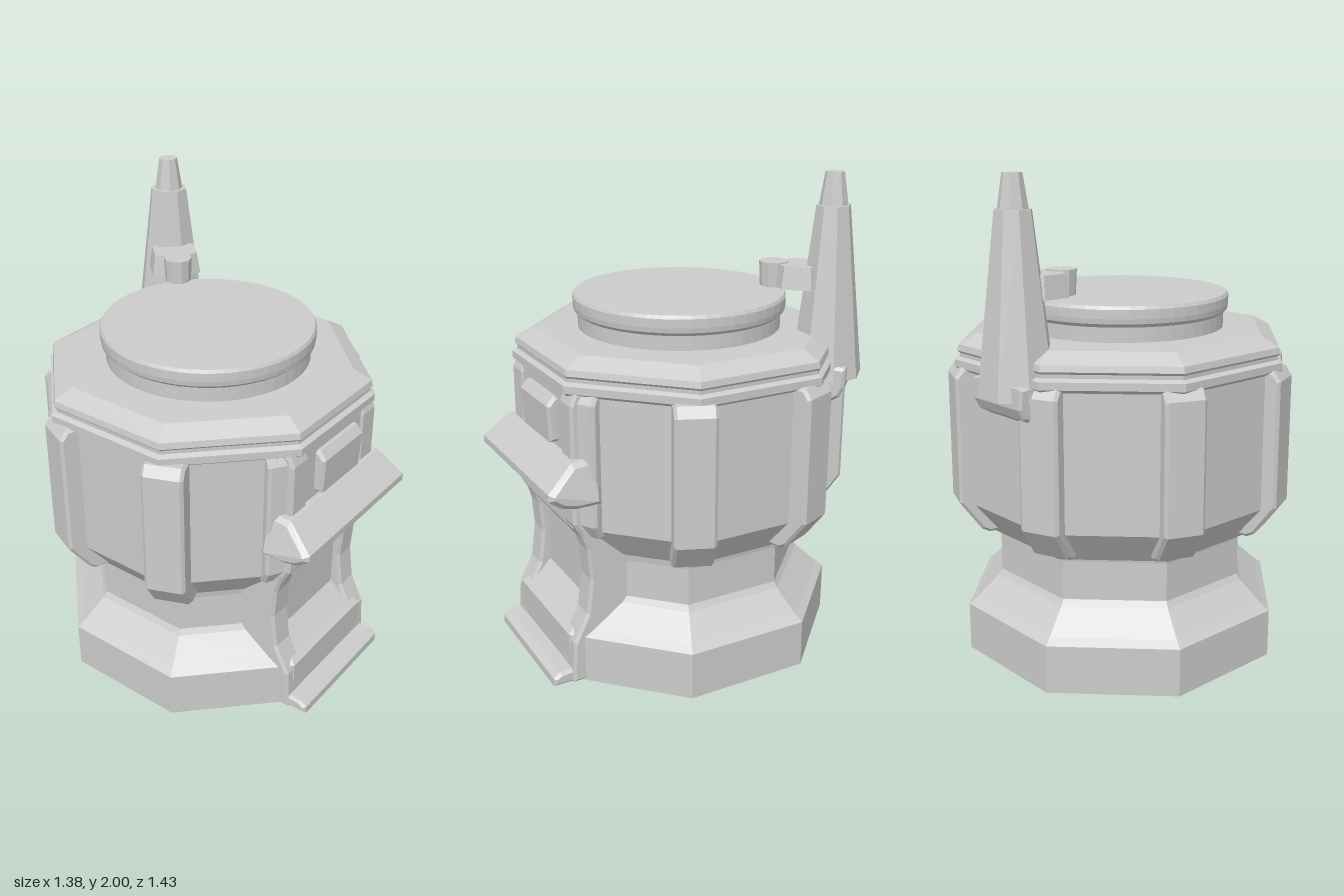
import * as THREE from 'three';

const flat = new THREE.MeshStandardMaterial({ color: 0xcccccc, flatShading: true });
const CZ = -0.04; // centre of the tower in z
const CORNER = Math.PI / 8;

function add(parent, name, geometry, x = 0, y = 0, z = 0) {
  const mesh = new THREE.Mesh(geometry, flat);
  mesh.name = name;
  mesh.position.set(x, y, z);
  parent.add(mesh);
  return mesh;
}

// Octagonal solid from [apothem, y] pairs, flat sides facing the axes
function octagon(profile) {
  const pts = profile.map(([a, y]) => new THREE.Vector2(a / Math.cos(CORNER), y));
  return new THREE.LatheGeometry(pts, 8).rotateY(CORNER);
}

// Side outline of [z, y] pairs, extruded along x with a small bevel
function prism(outline, width, bevel = 0.012) {
  const shape = new THREE.Shape(outline.map(([z, y]) => new THREE.Vector2(z, y)));
  const depth = width - 2 * bevel;
  return new THREE.ExtrudeGeometry(shape, {
    depth, bevelEnabled: true, bevelSize: bevel, bevelThickness: bevel, bevelOffset: -bevel, bevelSegments: 1,
  }).translate(0, 0, -depth / 2).rotateY(-Math.PI / 2);
}

export function createModel() {
  const model = new THREE.Group();
  model.name = 'octagonalTower';

  // Flared foot and narrow neck
  add(model, 'base', octagon([
    [0, 0], [0.63, 0], [0.63, 0.2], [0.6, 0.225], [0.51, 0.315], [0.495, 0.34], [0.495, 0.5], [0.5, 0.53], [0, 0.53],
  ]), 0, 0, -0.015);

  // Main drum with stepped cornice and sloping roof
  add(model, 'body', octagon([
    [0, 0.53], [0.52, 0.53], [0.55, 0.57], [0.625, 0.67], [0.625, 1.22], [0.645, 1.235], [0.645, 1.265],
    [0.625, 1.275], [0.625, 1.29], [0.635, 1.3], [0.63, 1.325], [0.56, 1.365], [0, 1.37],
  ]), 0, 0, CZ);

  // Ribs wrapped over the side and back corners
  const ribOutline = [
    [0.53, 0.55], [0.6, 0.545], [0.63, 0.56], [0.718, 0.68], [0.718, 1.2], [0.69, 1.24], [0.53, 1.24],
  ];
  for (let i = 1; i < 7; i++) {
    const rib = add(model, 'cornerRib', prism(ribOutline, 0.165), 0, 0, -0.02);
    rib.rotation.y = CORNER + i * Math.PI / 4;
  }

  // Round lid on the roof
  const lid = [[0, 1.36], [0.42, 1.36], [0.42, 1.425], [0.437, 1.44], [0.44, 1.46], [0.44, 1.495], [0.433, 1.508], [0, 1.512]];
  add(model, 'lid', new THREE.LatheGeometry(lid.map(p => new THREE.Vector2(...p)), 48), 0, 0, -0.035);

  // Doorway: pillars, flared frame posts, recessed door and doorstep
  const pillarOutline = [
    [0.3, 0], [0.62, 0], [0.61, 0.18], [0.55, 0.3], [0.53, 0.45], [0.54, 0.58], [0.57, 0.68], [0.57, 0.84], [0.3, 0.84],
  ];
  const postOutline = [[0.4, 0.6], [0.55, 0.62], [0.595, 0.7], [0.595, 1.19], [0.575, 1.24], [0.4, 1.24]];
  for (const side of [-1, 1]) {
    add(model, 'doorPillar', prism(pillarOutline, 0.11), side * 0.255, 0, 0);
    add(model, 'frontFramePost', prism(postOutline, 0.11), side * 0.25, 0, 0);
    const wing = add(model, 'frontFrameWing', prism([[0.52, 0.62], [0.61, 0.64], [0.645, 0.7], [0.645, 1.2], [0.62, 1.24], [0.52, 1.24]], 0.1));
    wing.rotation.y = side * 0.53;
  }
  add(model, 'door', prism([[0.3, 0.05], [0.58, 0.05], [0.57, 0.2], [0.5, 0.3], [0.5, 0.82], [0.3, 0.82]], 0.42));
  add(model, 'doorstep', prism([[0.45, 0], [0.7, 0], [0.7, 0.035], [0.67, 0.055], [0.45, 0.065]], 0.6));

  // Wedge canopy over the door, narrower along its top
  const canopy = prism([[0.5, 0.8], [0.61, 0.8], [0.67, 0.815], [0.72, 0.85], [0.72, 0.88], [0.61, 0.975], [0.5, 0.985]], 0.76, 0.02);
  const p = canopy.attributes.position;
  for (let i = 0; i < p.count; i++) if (p.getY(i) > 0.92) p.setX(i, p.getX(i) * 0.91);
  add(model, 'canopy', canopy);
  add(model, 'signPanel', prism([[0.5, 1.0], [0.62, 1.0], [0.628, 1.15], [0.6, 1.185], [0.5, 1.185]], 0.29), 0.01, 0, 0);

  // Tapered mast on the back left corner face
  const mast = new THREE.Group();
  mast.name = 'mast';
  mast.position.set(0.365, 0, -0.53);
  mast.rotation.y = Math.PI * 0.75; // local +z points outwards
  model.add(mast);
  add(mast, 'mastBracket', prism([[-0.06, 1.12], [0.03, 1.09], [0.08, 1.12], [0.1, 1.16], [0.1, 1.24], [-0.06, 1.26]], 0.3));
  const shaft = new THREE.CylinderGeometry(0.075, 0.16, 0.69, 8).rotateY(CORNER).scale(1.05, 1, 0.92);
  add(mast, 'mastShaft', shaft, 0, 1.525, 0);
  add(mast, 'mastTip', new THREE.CylinderGeometry(0.038, 0.06, 0.14, 8), 0, 1.93, 0);

  // Short arm reaching from the mast over the lid
  const arm = add(model, 'arm', new THREE.CylinderGeometry(0.105, 0.12, 0.09, 6), 0.285, 1.585, -0.44);
  arm.rotation.y = 0.3;
  add(model, 'armKnob', new THREE.CylinderGeometry(0.06, 0.055, 0.1, 10), 0.21, 1.585, -0.36);
  return model;
}
